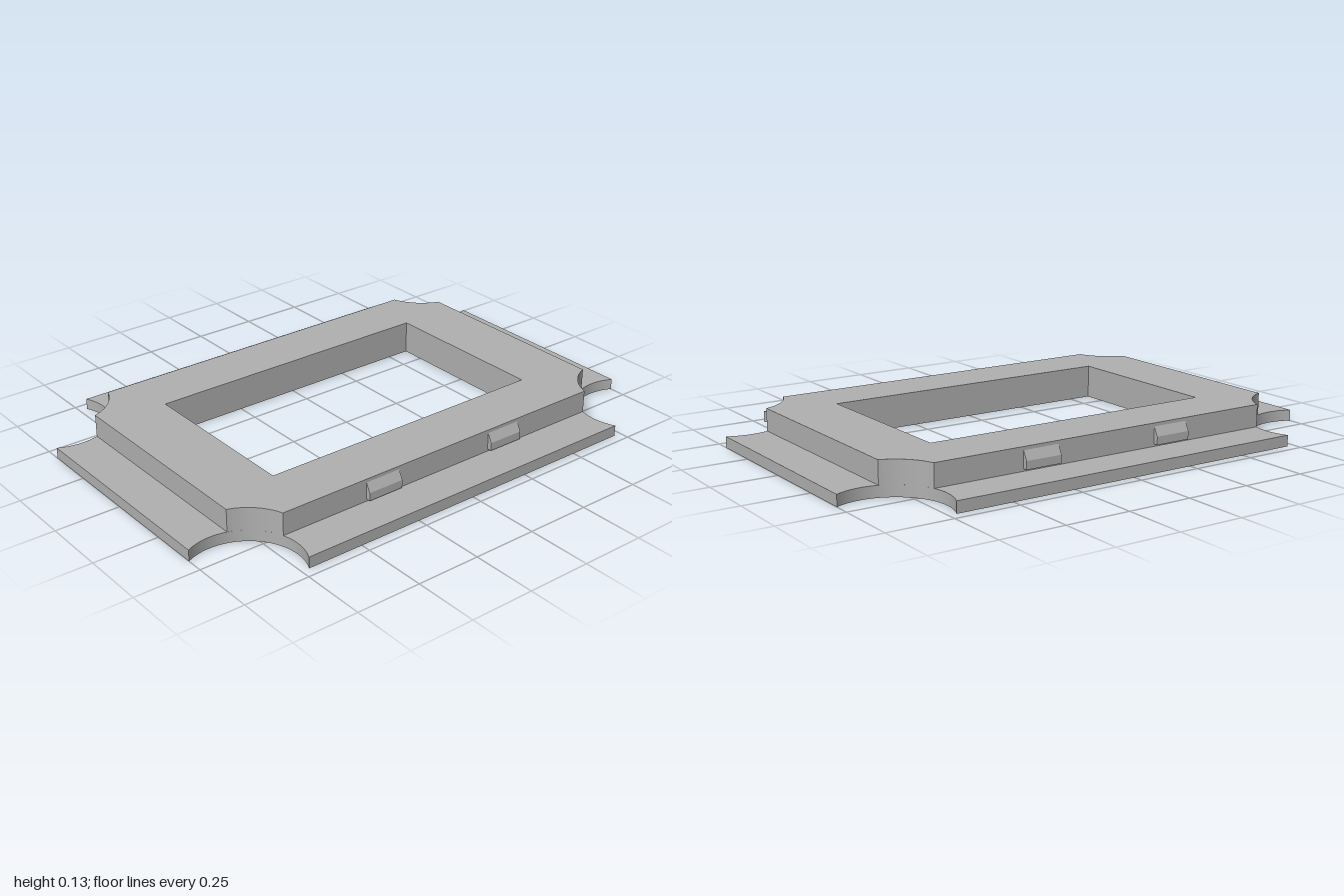
import * as THREE from 'three';
import { toCreasedNormals } from 'three/addons/utils/BufferGeometryUtils.js';

const NOTCH = { x: 0.62, z: 0.905, r: 0.207 };
const OPENING = { x: 0.34, z: 0.59 };

// Rectangle with a round notch bitten out of each corner and a central opening
function frameShape(halfX, halfZ) {
  const { x, z, r } = NOTCH;
  const start = -Math.acos((halfX - x) / r);
  const end = -Math.PI * 2 + Math.acos(-Math.sqrt(r * r - (halfZ - z) ** 2) / r);
  const endAngle = halfZ > z ? end : -Math.acos(-Math.sqrt(r * r - (halfZ - z) ** 2) / r);
  const corner = [];
  for (let i = 0; i <= 24; i++) {
    const a = start + (endAngle - start) * i / 24;
    corner.push([x + r * Math.cos(a), z + r * Math.sin(a)]);
  }
  const points = [];
  for (const [sx, sz] of [[1, 1], [-1, 1], [-1, -1], [1, -1]]) {
    const arc = sx * sz > 0 ? corner : [...corner].reverse();
    for (const [px, pz] of arc) points.push(new THREE.Vector2(sx * px, sz * pz));
  }
  const shape = new THREE.Shape(points);
  const { x: ox, z: oz } = OPENING;
  shape.holes.push(new THREE.Path([[-ox, -oz], [-ox, oz], [ox, oz], [ox, -oz]]
    .map(([px, pz]) => new THREE.Vector2(px, pz))));
  return shape;
}

function frame(name, halfX, halfZ, y0, y1, material) {
  const geometry = new THREE.ExtrudeGeometry(frameShape(halfX, halfZ), { depth: y1 - y0, bevelEnabled: false });
  geometry.rotateX(-Math.PI / 2);
  geometry.translate(0, y0, 0);
  const mesh = new THREE.Mesh(toCreasedNormals(geometry, 0.5), material);
  mesh.name = name;
  return mesh;
}

export function createModel() {
  const group = new THREE.Group();
  group.name = 'mountingFrame';
  const grey = new THREE.MeshStandardMaterial({ color: 0xb0b0b0 });
  grey.name = 'grey';

  group.add(frame('baseFlange', 0.712, 1, 0, 0.043, grey));
  group.add(frame('raisedFrame', 0.557, 0.84, 0.043, 0.13, grey));

  // Wedge-shaped snap clips, two on each long side
  const profile = new THREE.Shape([[0.55, 0.052], [0.575, 0.052], [0.575, 0.083], [0.557, 0.117], [0.55, 0.117]]
    .map(([x, y]) => new THREE.Vector2(x, y)));
  const clipGeometry = new THREE.ExtrudeGeometry(profile, { depth: 0.145, bevelEnabled: false });
  clipGeometry.translate(0, 0, -0.0725);
  for (const side of [0, Math.PI]) {
    for (const z of [-0.283, 0.283]) {
      const clip = new THREE.Mesh(clipGeometry, grey);
      clip.name = side ? 'rightClip' : 'leftClip';
      clip.rotation.y = side;
      clip.position.z = z;
      group.add(clip);
    }
  }
  return group;
}
